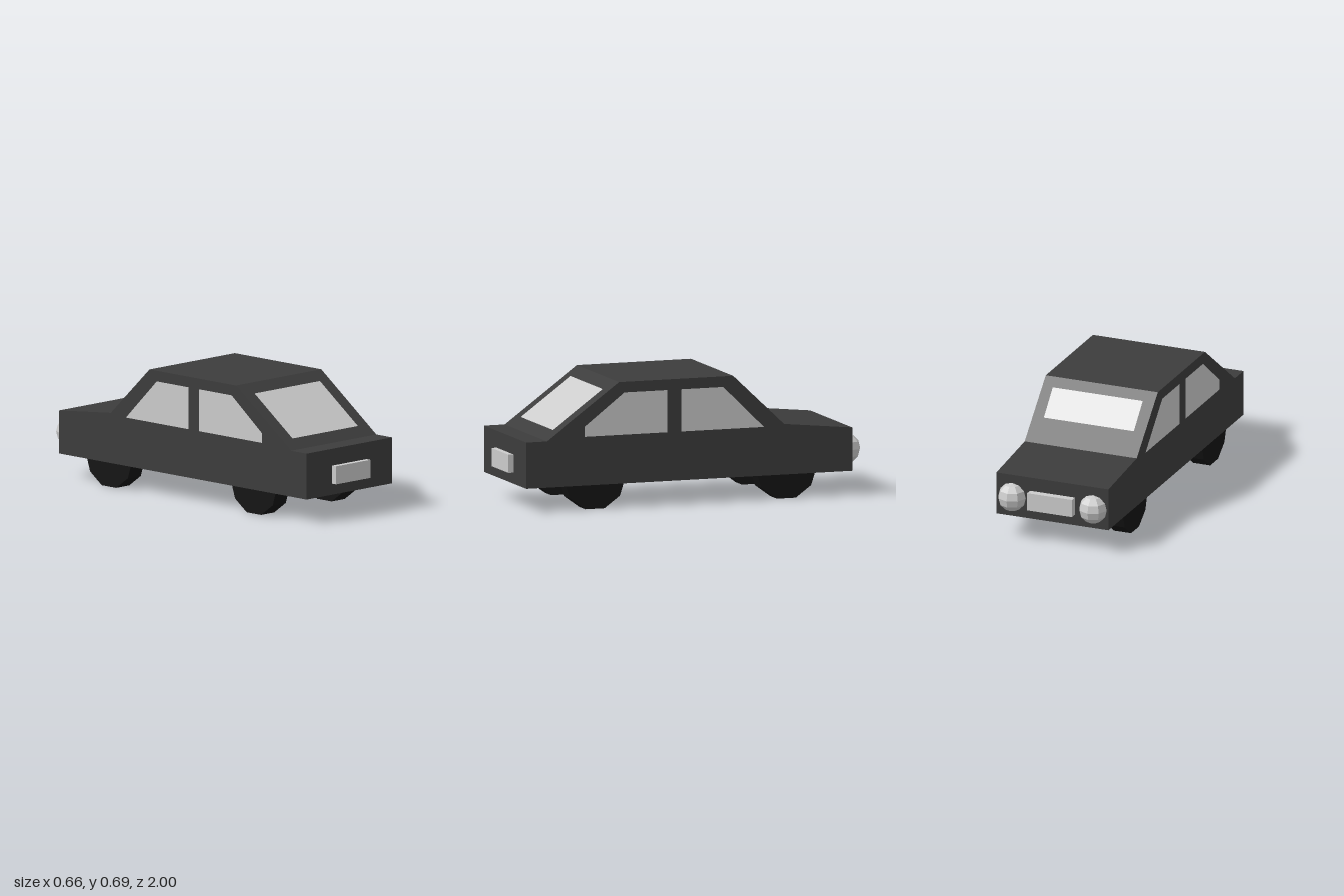
import * as THREE from 'three';

const paint = new THREE.MeshStandardMaterial({ color: 0x3c3c3c, flatShading: true });
const rubber = new THREE.MeshStandardMaterial({ color: 0x141414, flatShading: true });
const grey = new THREE.MeshStandardMaterial({ color: 0xcccccc, flatShading: true });
const glass = new THREE.MeshStandardMaterial({ color: 0xcccccc, side: THREE.DoubleSide });

const HALF = 0.33; // half the body width

// Side outline from [z, y] points
const outline = (points) => new THREE.Shape(points.map(([z, y]) => new THREE.Vector2(z, y)));

export function createModel() {
  const car = new THREE.Group();
  car.name = 'car';

  const add = (name, geometry, material, x = 0, y = 0, z = 0) => {
    const mesh = new THREE.Mesh(geometry, material);
    mesh.name = name;
    mesh.position.set(x, y, z);
    car.add(mesh);
    return mesh;
  };

  // Body: side profile extruded across the width
  const body = new THREE.ExtrudeGeometry(outline([
    [0.97, 0.132], [0.97, 0.386], [0.85, 0.386], [0.43, 0.69],
    [-0.23, 0.69], [-0.525, 0.41], [-0.92, 0.37], [-0.92, 0.132],
  ]), { depth: 2 * HALF, bevelEnabled: false });
  body.rotateY(-Math.PI / 2);
  add('body', body, paint, HALF);

  // Side windows, flush with both flanks
  const sideWindows = {
    SideWindowA: [[0.63, 0.4], [0.63, 0.455], [0.4, 0.632], [0.15, 0.632], [0.15, 0.4]],
    SideWindowB: [[0.07, 0.4], [0.07, 0.632], [-0.172, 0.632], [-0.408, 0.4]],
  };
  for (const [name, points] of Object.entries(sideWindows)) {
    const pane = new THREE.ShapeGeometry(outline(points));
    pane.rotateY(-Math.PI / 2);
    add('left' + name, pane, glass, HALF + 0.002);
    add('right' + name, pane, glass, -HALF - 0.002);
  }

  // Sloping screens, lifted slightly along the normal (0, ny, nz)
  const addScreen = (name, width, length, y, z, ny, nz) => {
    const lift = 0.002 / Math.hypot(ny, nz);
    const pane = add(name, new THREE.PlaneGeometry(width, length), glass, 0, y + ny * lift, z + nz * lift);
    pane.rotation.x = -Math.atan2(ny, nz);
  };
  addScreen('frontScreen', 0.505, 0.358, 0.538, 0.64, 0.42, 0.304);
  addScreen('rearScreen', 0.53, 0.276, 0.548, -0.38, 0.28, -0.295);

  // Wheels: ten sides, resting on a flat
  const wheel = new THREE.CylinderGeometry(0.178, 0.178, 0.101, 10);
  wheel.rotateZ(Math.PI / 2);
  wheel.rotateX(Math.PI / 10);
  wheel.computeBoundingBox();
  const wheelY = -wheel.boundingBox.min.y;
  if (wheelY > 0.175) wheel.rotateX(Math.PI / 10);
  for (const [end, z] of [['front', 0.565], ['rear', -0.542]]) {
    add(end + 'LeftWheel', wheel, rubber, 0.268, 0.169, z);
    add(end + 'RightWheel', wheel, rubber, -0.277, 0.169, z);
  }

  // Plates at both ends
  const plate = new THREE.BoxGeometry(0.264, 0.1, 0.08);
  add('frontPlate', plate, grey, 0, 0.243, 0.96);
  add('rearPlate', plate, grey, 0, 0.243, -0.92);

  // Round lamps half sunk into the rear face
  const lamp = new THREE.SphereGeometry(0.08, 8, 6);
  add('leftLamp', lamp, grey, 0.237, 0.243, -0.92);
  add('rightLamp', lamp, grey, -0.24, 0.243, -0.92);

  return car;
}
